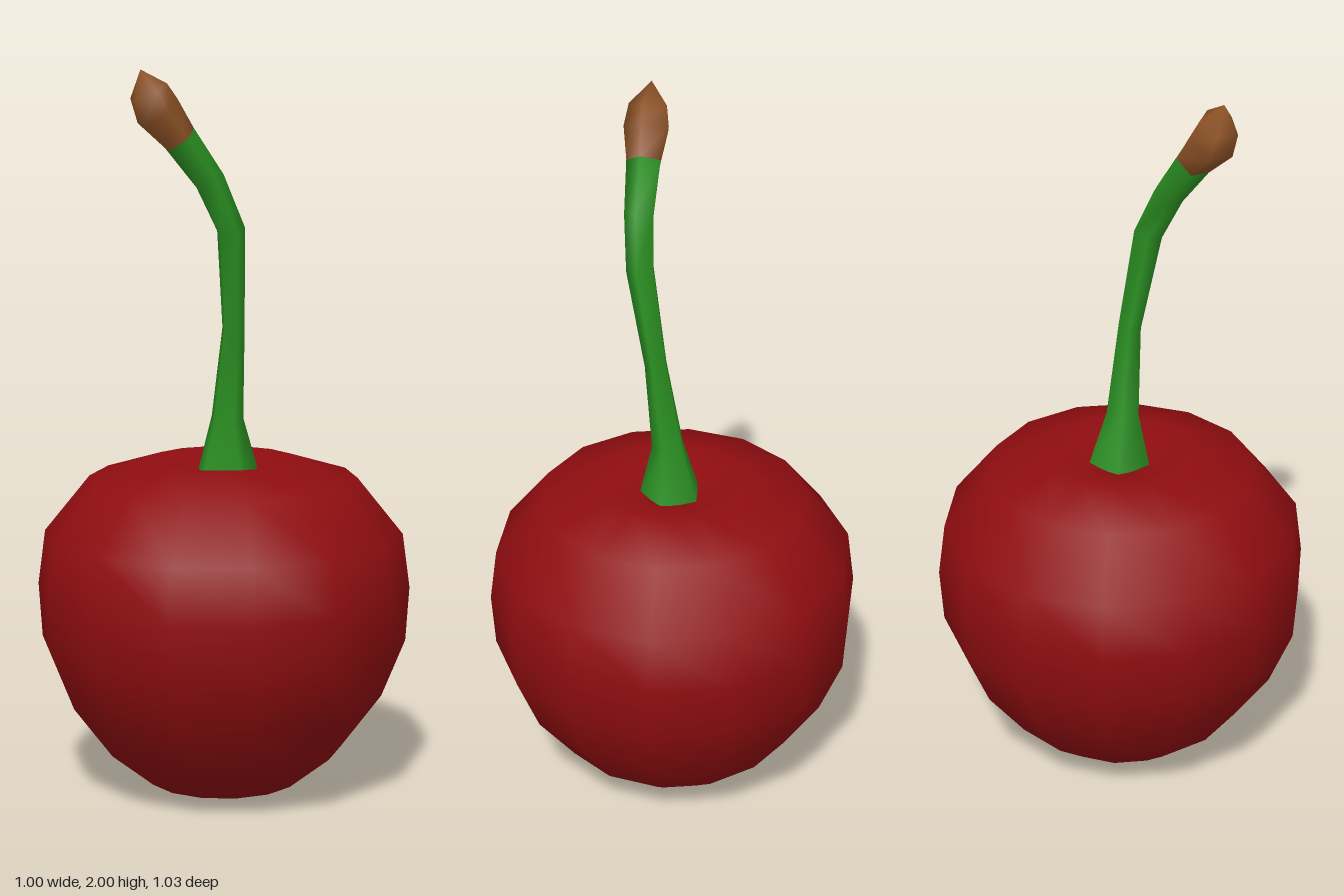
import * as THREE from 'three';

const SIDES = 5;

// Sweeps a small polygon along rings [x, y, z, radius]; optional end point closes it.
function sweep(rings, dirs, tip) {
  const pos = [], index = [];
  rings.forEach(([x, y, z, r], i) => {
    const d = dirs[i];
    const u = new THREE.Vector3(0, 0, 1).addScaledVector(d, -d.z).normalize();
    const v = new THREE.Vector3().crossVectors(d, u);
    for (let s = 0; s < SIDES; s++) {
      const a = (s / SIDES) * Math.PI * 2 + Math.PI / 2;
      const p = new THREE.Vector3(x, y, z)
        .addScaledVector(u, Math.cos(a) * r)
        .addScaledVector(v, Math.sin(a) * r);
      pos.push(p.x, p.y, p.z);
    }
  });
  for (let i = 0; i < rings.length - 1; i++) {
    for (let s = 0; s < SIDES; s++) {
      const t = (s + 1) % SIDES;
      const a = i * SIDES + s, b = i * SIDES + t;
      index.push(a, b, b + SIDES, a, b + SIDES, a + SIDES);
    }
  }
  if (tip) {
    const last = (rings.length - 1) * SIDES;
    pos.push(...tip);
    for (let s = 0; s < SIDES; s++) {
      index.push(last + s, last + ((s + 1) % SIDES), rings.length * SIDES);
    }
  }
  const geo = new THREE.BufferGeometry();
  geo.setAttribute('position', new THREE.Float32BufferAttribute(pos, 3));
  geo.setIndex(index);
  geo.computeVertexNormals();
  return geo;
}

export function createModel() {
  const group = new THREE.Group();
  const material = (name, color) => {
    const m = new THREE.MeshStandardMaterial({ color });
    m.name = name;
    return m;
  };
  const add = (name, geo, mat) => {
    const mesh = new THREE.Mesh(geo, mat);
    mesh.name = name;
    group.add(mesh);
  };
  const red = material('cherryRed', 0x8f0d10);
  const green = material('stemGreen', 0x2b9022);
  const brown = material('tipBrown', 0x8d5226);

  // Round fruit with a shallow dimple at top and bottom
  const profile = [
    [0, 0.03], [0.1, 0.0], [0.21, 0.03], [0.33, 0.125], [0.44, 0.27],
    [0.505, 0.43], [0.515, 0.58], [0.495, 0.73], [0.37, 0.885],
    [0.2, 0.937], [0.09, 0.905], [0, 0.885],
  ].map(([r, y]) => new THREE.Vector2(r, y));
  add('fruit', new THREE.LatheGeometry(profile, 14), red);

  // Curved stem, flared at the base and thickening to a woody tip
  const rings = [
    [0.01, 0.885, 0.0, 0.092],
    [0.008, 1.05, 0.01, 0.046],
    [0.02, 1.3, 0.04, 0.032],
    [0.005, 1.57, 0.088, 0.04],
    [-0.055, 1.7, 0.112, 0.043],
    [-0.14, 1.815, 0.13, 0.05],
    [-0.2, 1.885, 0.143, 0.066],
    [-0.225, 1.94, 0.148, 0.056],
  ];
  const at = (i) => new THREE.Vector3(...rings[Math.min(Math.max(i, 0), rings.length - 1)]);
  const dirs = rings.map((_, i) => at(i + 1).sub(at(i - 1)).normalize());
  dirs[0].set(0, 1, 0);
  add('stem', sweep(rings.slice(0, 6), dirs.slice(0, 6)), green);
  add('stemTip', sweep(rings.slice(5), dirs.slice(5), [-0.245, 2.0, 0.15]), brown);

  return group;
}
